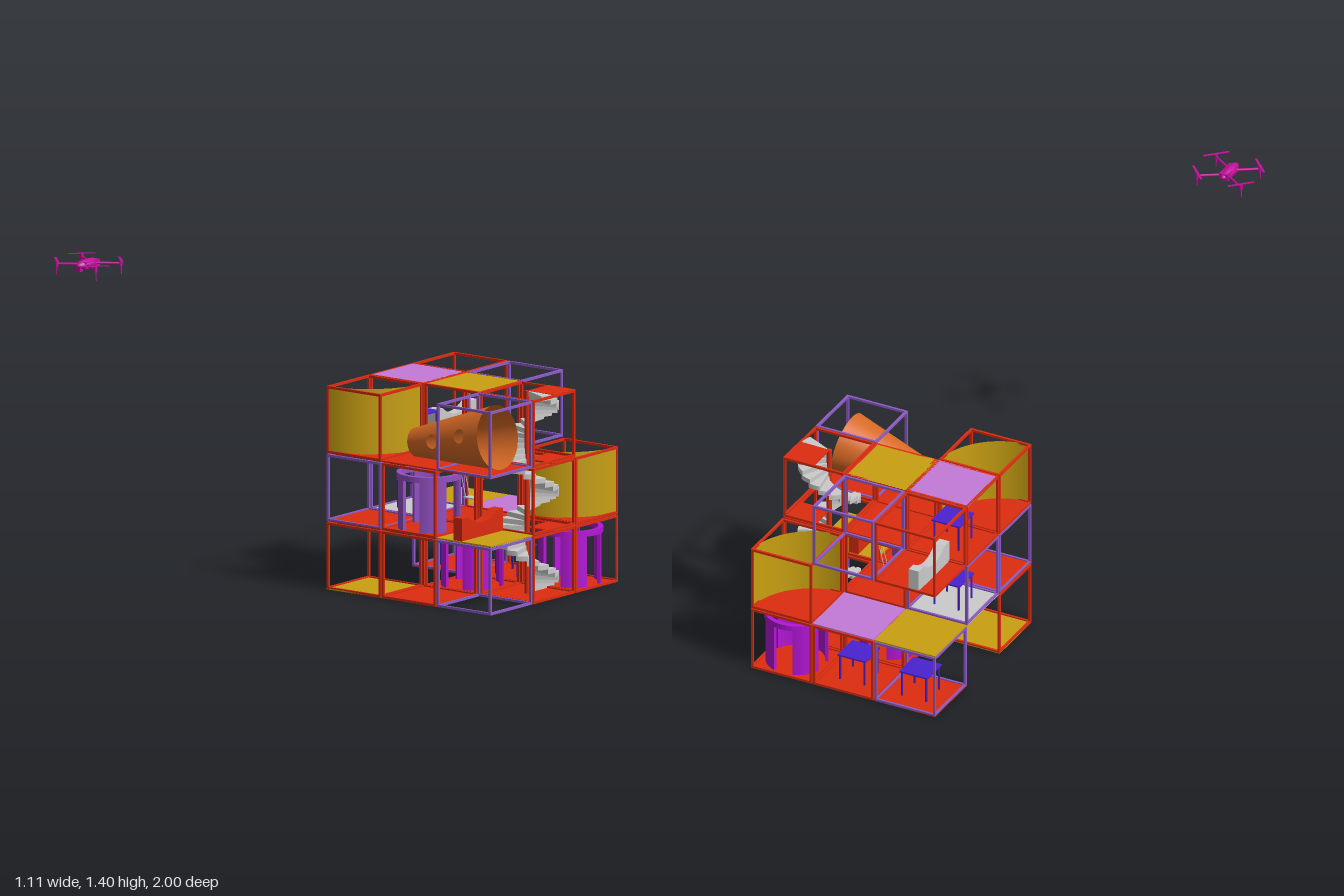
import * as THREE from 'three';

const RED = 0xdd2c10, PURPLE = 0x8d5cc8, GOLD = 0xc9a012, PINK = 0xc47ad8, GREY = 0xcccccc;
const MAGENTA = 0xb516d8, VIOLET = 0x9450c4, BLUE = 0x4a22d0, ORANGE = 0xd96a25, DRONE = 0xc0109a;
const S = 0.25, P = 0.2545, BAR = 0.009;

const mat = (color, side = THREE.FrontSide) => new THREE.MeshStandardMaterial({ color, side });

function add(parent, name, geo, color, pos = [0, 0, 0], side) {
  const m = new THREE.Mesh(geo, mat(color, side));
  m.name = name;
  m.position.set(...pos);
  parent.add(m);
  return m;
}
const box = (parent, name, size, color, pos) => add(parent, name, new THREE.BoxGeometry(...size), color, pos);

// thin rod between two points
function rod(parent, name, a, b, r, color) {
  const va = new THREE.Vector3(...a), vb = new THREE.Vector3(...b);
  const d = vb.clone().sub(va);
  const m = add(parent, name, new THREE.CylinderGeometry(r, r, d.length(), 8), color);
  m.position.copy(va).addScaledVector(d, 0.5);
  m.quaternion.setFromUnitVectors(new THREE.Vector3(0, 1, 0), d.normalize());
  return m;
}

// bottom centre of a cell: i = column, j = level, k = row from the back
const cell = (i, j, k) => [-0.21 + S / 2 + i * P, 0.003 + j * P, -1 + S / 2 + k * P];

function frame(parent, [x, y, z], color) {
  const g = new THREE.Group();
  g.name = 'cellFrame';
  g.position.set(x, y + S / 2, z);
  const h = S / 2 - BAR / 2;
  for (const a of [-h, h]) for (const b of [-h, h]) {
    box(g, 'barX', [S, BAR, BAR], color, [0, a, b]);
    box(g, 'barY', [BAR, S, BAR], color, [a, 0, b]);
    box(g, 'barZ', [BAR, BAR, S], color, [a, b, 0]);
  }
  parent.add(g);
}

function table(parent, [x, y, z]) {
  const g = new THREE.Group();
  g.name = 'table';
  g.position.set(x, y + 0.004, z);
  box(g, 'tableTop', [0.115, 0.006, 0.115], BLUE, [0, 0.103, 0]);
  for (const a of [-0.05, 0.05]) for (const b of [-0.05, 0.05])
    box(g, 'tableLeg', [0.006, 0.1, 0.006], BLUE, [a, 0.05, b]);
  parent.add(g);
}

// flat ring segment between two angles, extruded upward
function ringSegment(r0, r1, a0, a1, height) {
  const s = new THREE.Shape();
  s.absarc(0, 0, r1, a0, a1, false);
  s.absarc(0, 0, r0, a1, a0, true);
  return new THREE.ExtrudeGeometry(s, { depth: height, bevelEnabled: false, curveSegments: 16 })
    .rotateX(-Math.PI / 2);
}

// round kiosk: four curved piers under a collar
function kiosk(parent, [x, y, z], color) {
  const g = new THREE.Group();
  g.name = 'roundKiosk';
  g.position.set(x, y + 0.004, z);
  const gap = 0.34;
  for (let q = 0; q < 4; q++)
    add(g, 'curvedPier', ringSegment(0.103, 0.115, q * Math.PI / 2 + gap, (q + 1) * Math.PI / 2 - gap, 0.192), color);
  const collar = [[0.103, 0.19], [0.121, 0.19], [0.121, 0.211], [0.103, 0.211], [0.103, 0.19]];
  add(g, 'collar', new THREE.LatheGeometry(collar.map(p => new THREE.Vector2(...p)), 40).toNonIndexed(),
    color, [0, 0, 0], THREE.DoubleSide).geometry.computeVertexNormals();
  parent.add(g);
}

// low bench with a scooped top, running along z
function bench(parent, [x, y, z], color) {
  const s = new THREE.Shape();
  s.moveTo(-0.122, 0);
  s.lineTo(0.122, 0);
  s.lineTo(0.122, 0.085);
  s.lineTo(0.085, 0.085);
  s.quadraticCurveTo(0, 0.02, -0.085, 0.085);
  s.lineTo(-0.122, 0.085);
  const geo = new THREE.ExtrudeGeometry(s, { depth: 0.04, bevelEnabled: false, curveSegments: 16 })
    .translate(0, 0, -0.02).rotateY(Math.PI / 2);
  add(parent, 'scoopedBench', geo, color, [x, y + 0.004, z]);
}

// open tapered tube with round windows
function taperedTube(parent) {
  const A = new THREE.Vector3(0.109, 0.573, -0.365), B = new THREE.Vector3(0.484, 0.639, -0.365);
  const axis = B.clone().sub(A), L = axis.length();
  const r0 = 0.053, r1 = 0.119, N = 120, M = 64, R = 0.027;
  const holes = [[0.13, 0.1], [0.28, 0.25], [0.21, 2.3]];   // along the axis, angle from the front
  const pos = [], inside = [], idx = [];
  for (let m = 0; m <= M; m++) for (let n = 0; n <= N; n++) {
    let v = m / M * L, a = n / N * Math.PI * 2 - 1, within = 0;
    for (const [hv, ha] of holes) {
      const rr = r0 + (r1 - r0) * hv / L, dv = v - hv, du = (a - ha) * rr, d = Math.hypot(dv, du);
      if (d < R) {
        within = 1;
        const f = R / Math.max(d, 1e-5);
        v = hv + dv * f;
        a = ha + du * f / rr;
      }
    }
    const r = r0 + (r1 - r0) * v / L;
    pos.push(v, Math.sin(a) * r, Math.cos(a) * r);
    inside.push(within);
  }
  for (let m = 0; m < M; m++) for (let n = 0; n < N; n++) {
    const a = m * (N + 1) + n, b = a + 1, c = a + N + 1, d = c + 1;
    if (inside[a] + inside[b] + inside[c] + inside[d] === 4) continue;
    idx.push(a, c, b, b, c, d);
  }
  const geo = new THREE.BufferGeometry();
  geo.setAttribute('position', new THREE.Float32BufferAttribute(pos, 3));
  geo.setIndex(idx);
  geo.computeVertexNormals();
  const t = add(parent, 'taperedTube', geo, ORANGE, A.toArray(), THREE.DoubleSide);
  t.rotation.z = Math.atan2(axis.y, axis.x);
}

function spiralStair(parent) {
  const g = new THREE.Group();
  g.name = 'spiralStair';
  const [x, , z] = cell(2, 0, 1);
  g.position.set(x, 0.006, z);
  const n = 42, rise = 0.757 / n, turn = 1130 * Math.PI / 180 * rise;
  const tread = ringSegment(0.006, 0.116, 0, turn * 1.15, rise);
  for (let s = 0; s < n; s++)
    add(g, 'step', tread, GREY, [0, s * rise, 0]).rotation.y = 1.92 - (s + 1) * turn;
  add(g, 'centrePole', new THREE.CylinderGeometry(0.01, 0.01, 0.757, 16), RED, [0, 0.3785, 0]);
  // quarter landings
  for (let j = 1; j <= 3; j++)
    box(g, 'landing', [S / 2, 0.006, S / 2], RED, [S / 4, j * P - 0.009, -S / 4]);
  parent.add(g);
}

function swing(parent) {
  const g = new THREE.Group();
  g.name = 'swing';
  const [x, y, z] = cell(1, 1, 1);
  for (const s of [-1, 1]) for (const d of [-0.012, 0.012])
    rod(g, 'swingRope', [x + s * 0.066, y + S, z + d], [x + s * 0.022, y + 0.075, z + d], 0.0015, GREY);
  box(g, 'swingSeat', [0.055, 0.005, 0.035], GREY, [x, y + 0.073, z]);
  parent.add(g);
}

function drone(parent) {
  const g = new THREE.Group();
  g.name = 'drone';
  g.position.set(-0.43, 1.38, 0.89);
  const body = add(g, 'body', new THREE.SphereGeometry(1, 24, 16), DRONE, [0, 0, 0.008]);
  body.scale.set(0.022, 0.019, 0.06);
  box(g, 'bodyShell', [0.036, 0.026, 0.085], DRONE, [0, 0, 0]);
  box(g, 'camera', [0.018, 0.018, 0.016], DRONE, [0, -0.012, 0.055]);
  for (const sx of [-1, 1]) for (const sz of [-1, 1]) {
    const x = sx * 0.09, z = sz * 0.075;
    rod(g, 'arm', [sx * 0.012, 0, sz * 0.025], [x, 0, z], 0.005, DRONE);
    add(g, 'motor', new THREE.CylinderGeometry(0.007, 0.007, 0.022, 12), DRONE, [x, 0.002, z]);
    rod(g, 'landingLeg', [x, 0, z], [x * 1.02, -0.04, z], 0.003, DRONE);
    box(g, 'propeller', [0.1, 0.002, 0.009], DRONE, [x, 0.014, z]).rotation.y = sx * sz * Math.PI / 4;
  }
  parent.add(g);
}

export function createModel() {
  const model = new THREE.Group();
  model.name = 'playTower';

  // frames, one string per level, rows from back to front: r red, p purple, dot empty
  const frames = [['prr', '.rr', 'rrp'], ['..r', 'prr', 'pr.'], ['rp.', 'rrr', 'r.p']];
  // floor panels: r red, g gold, v pink, c grey
  const floors = [['rrr', '.rr', 'gr.'], ['gvr', 'cr.', 'rrg'], ['r..', 'rr.', 'rrr'], ['...', 'vg.', '...']];
  const tone = { r: RED, p: PURPLE, g: GOLD, v: PINK, c: GREY };
  frames.forEach((rows, j) => rows.forEach((row, k) => [...row].forEach((c, i) => {
    if (c !== '.') frame(model, cell(i, j, k), tone[c]);
  })));
  floors.forEach((rows, j) => rows.forEach((row, k) => [...row].forEach((c, i) => {
    if (c === '.') return;
    const [x, y, z] = cell(i, j, k);
    box(model, j === 3 ? 'roofPanel' : 'floorPanel', [S, 0.005, S], tone[c], [x, j === 3 ? y - 0.007 : y + 0.002, z]);
  })));

  // quarter-round walls
  for (const c of [[0, 2, 2], [2, 1, 0]]) {
    const [x, y, z] = cell(...c);
    add(model, 'curvedWall', new THREE.CylinderGeometry(S - 0.004, S - 0.004, S - 0.004, 24, 1, true, 0, Math.PI / 2),
      GOLD, [x - S / 2, y + S / 2, z - S / 2], THREE.DoubleSide);
  }

  for (const c of [[0, 0, 0], [1, 0, 0], [0, 1, 1], [0, 2, 1]]) table(model, cell(...c));
  kiosk(model, cell(1, 0, 1), MAGENTA);
  kiosk(model, cell(2, 0, 0), MAGENTA);
  kiosk(model, cell(1, 1, 2), VIOLET);
  const [gx, gy, gz] = cell(0, 2, 0), [rx, ry, rz] = cell(2, 1, 2);
  bench(model, [gx - 0.035, gy, gz], GREY);
  bench(model, [rx - 0.03, ry, rz], RED);
  taperedTube(model);
  spiralStair(model);
  swing(model);
  drone(model);
  return model;
}
